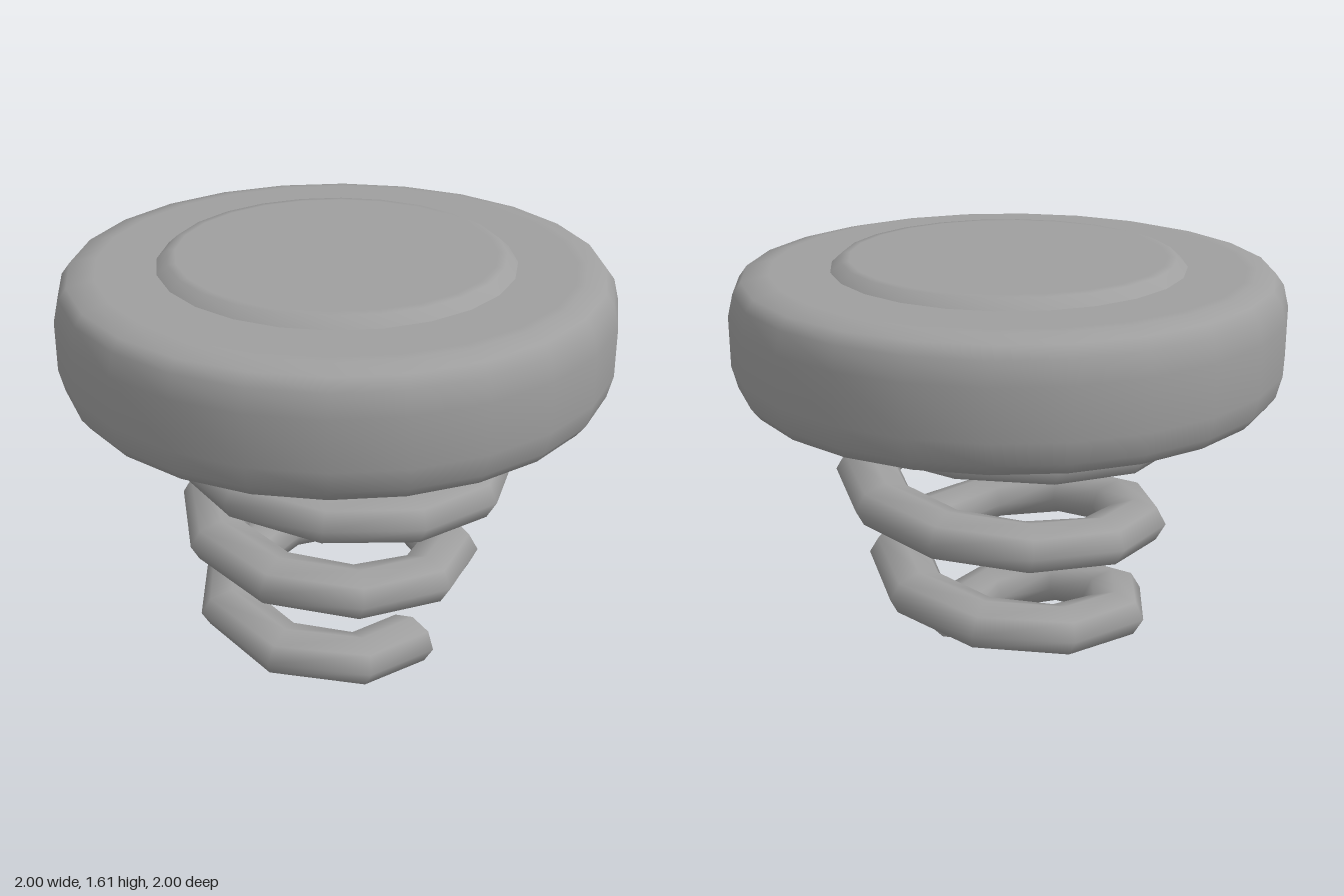
import * as THREE from 'three';

const material = new THREE.MeshStandardMaterial({ color: 0x9f9f9f });
const SIDES = 8;
const SEGMENTS = 30;

// Widening helix whose axis leans slightly toward +x
class SpringCurve extends THREE.Curve {
  getPoint(t, target = new THREE.Vector3()) {
    const turn = 0.02 + 2.95 * t;
    const a = turn * Math.PI * 2;
    const r = 0.36 + 0.081 * turn;
    return target.set(
      -0.045 + 0.036 * turn + r * Math.cos(a),
      0.092 + 0.356 * turn,
      0.02 + 0.004 * turn + r * Math.sin(a)
    );
  }
}

function addMesh(group, name, geometry) {
  const mesh = new THREE.Mesh(geometry, material);
  mesh.name = name;
  group.add(mesh);
}

function lathe(profile) {
  return new THREE.LatheGeometry(profile.map(([x, y]) => new THREE.Vector2(x, y)), 24);
}

// Oval cross-sections, wider than tall, set square to the path
function springRings() {
  const path = new SpringCurve().getSpacedPoints(SEGMENTS);
  return path.map((centre, i) => {
    const before = path[Math.max(i - 1, 0)];
    const after = path[Math.min(i + 1, SEGMENTS)];
    const along = after.clone().sub(before).normalize();
    const out = new THREE.Vector3(along.z, 0, -along.x).normalize();
    const up = along.clone().cross(out);
    return Array.from({ length: SIDES }, (_, j) => {
      const a = (j / SIDES) * Math.PI * 2;
      return centre.clone()
        .addScaledVector(out, 0.12 * Math.cos(a))
        .addScaledVector(up, 0.088 * Math.sin(a));
    });
  });
}

// Smooth skin over the rings
function skin(rings) {
  const index = [];
  for (let i = 0; i < SEGMENTS; i++) {
    for (let j = 0; j < SIDES; j++) {
      const a = i * SIDES + j;
      const b = i * SIDES + (j + 1) % SIDES;
      index.push(a, b, a + SIDES, b, b + SIDES, a + SIDES);
    }
  }
  const geometry = new THREE.BufferGeometry().setFromPoints(rings.flat());
  geometry.setIndex(index);
  geometry.computeVertexNormals();
  return geometry;
}

// Flat face filling one ring
function endFace(ring) {
  const triangles = [];
  for (let j = 1; j < SIDES - 1; j++) triangles.push(ring[0], ring[j], ring[j + 1]);
  const geometry = new THREE.BufferGeometry().setFromPoints(triangles);
  geometry.computeVertexNormals();
  return geometry;
}

export function createModel() {
  const model = new THREE.Group();
  model.name = 'springPad';

  // Coil spring with closed ends
  const spring = new THREE.Group();
  spring.name = 'spring';
  const rings = springRings();
  addMesh(spring, 'coil', skin(rings));
  addMesh(spring, 'lowerCoilEnd', endFace([...rings[0]].reverse()));
  addMesh(spring, 'upperCoilEnd', endFace(rings[SEGMENTS]));
  model.add(spring);

  // Round pad with softened rims
  addMesh(model, 'pad', lathe([
    [0, 1.128], [0.85, 1.128], [0.89, 1.13], [0.95, 1.15], [0.98, 1.19], [1, 1.27],
    [1, 1.45], [0.98, 1.53], [0.95, 1.57], [0.88, 1.588], [0.85, 1.59], [0, 1.59],
  ]));

  // Thin raised plate on the top
  addMesh(model, 'topPlate', lathe([
    [0.64, 1.588], [0.6, 1.624], [0.57, 1.626], [0, 1.626],
  ]));

  return model;
}
